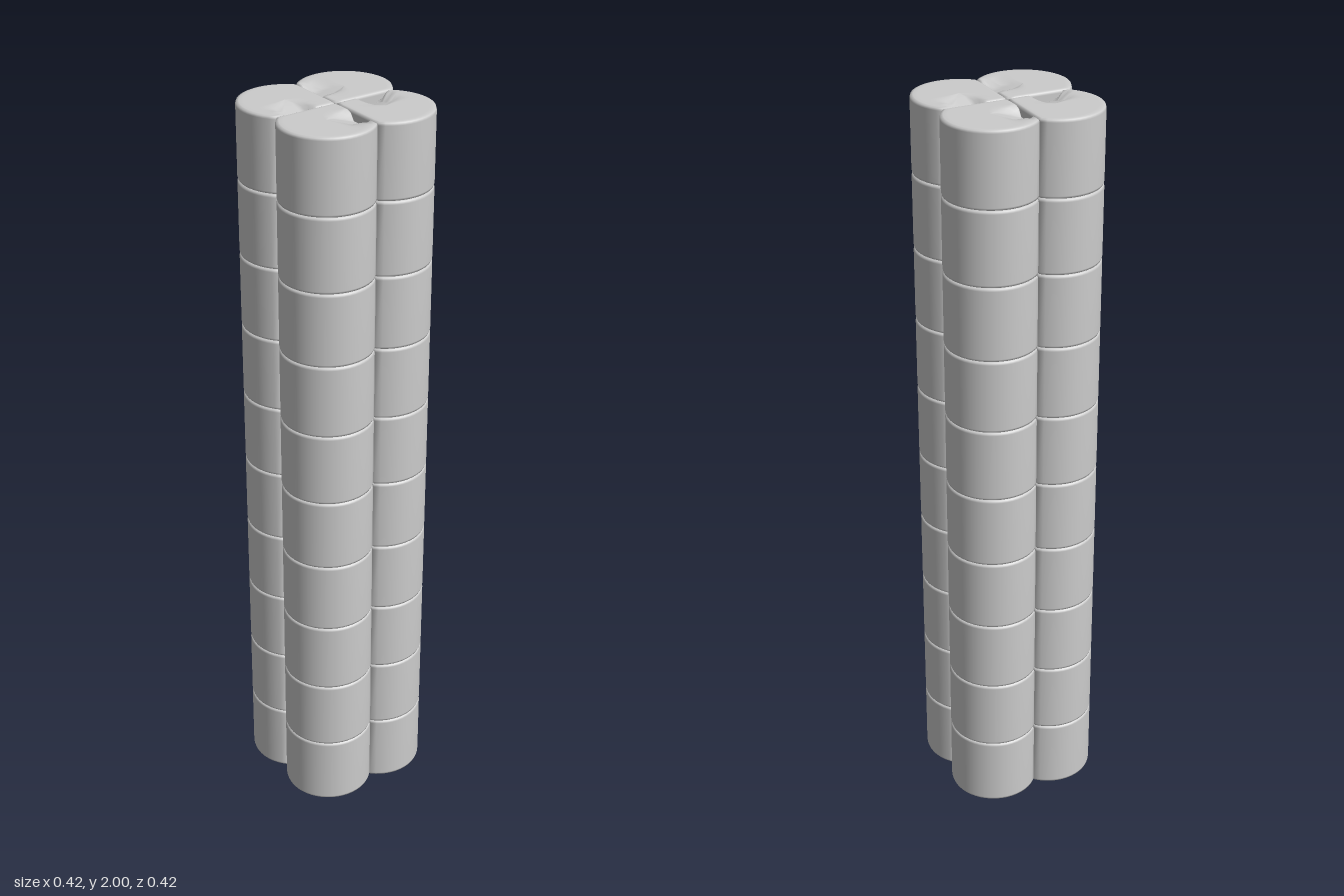
import * as THREE from 'three';

const SEGMENTS = 10, HEIGHT = 2 / SEGMENTS;
const CENTRE = 0.088, RADIUS = 0.122, SIDES = 48;

// Depth of the sloping dent beside the lobe's inner seam (v runs away from +z)
function dentDepth(u, v) {
  const band = THREE.MathUtils.clamp((0.045 - Math.abs(v - 0.105)) / 0.015, 0, 1);
  return 0.025 * band * Math.max(0, 1 - u / 0.08);
}

// One round lobe, cut flat where it meets its neighbours, with softened rims
function lobeGeometry() {
  const cap = [[0, 0], [0.25, 0], [0.5, 0], [0.7, 0], [0.85, 0], [0.93, 0], [0.985, 0.002], [1, 0.008]];
  const rows = [...cap, ...cap.map(([s, y]) => [s, HEIGHT - y]).reverse()];
  const positions = [], index = [];
  rows.forEach(([scale, height], i) => {
    for (let j = 0; j < SIDES; j++) {
      const a = (j / SIDES) * Math.PI * 2;
      const dx = Math.cos(a), dy = Math.sin(a);
      const reach = Math.min(RADIUS,
        dx < 0 ? -CENTRE / dx : RADIUS,
        dy < 0 ? -CENTRE / dy : RADIUS) * scale;
      const u = CENTRE + dx * reach, v = CENTRE + dy * reach;
      const dent = dentDepth(u, v);
      positions.push(u, THREE.MathUtils.clamp(height, dent, HEIGHT - dent), -v);
      if (i < rows.length - 1) {
        const k = (j + 1) % SIDES;
        const p = i * SIDES + j, q = i * SIDES + k;
        index.push(p, q, q + SIDES, p, q + SIDES, p + SIDES);
      }
    }
  });
  const geometry = new THREE.BufferGeometry();
  geometry.setAttribute('position', new THREE.Float32BufferAttribute(positions, 3));
  geometry.setIndex(index);
  geometry.computeVertexNormals();
  return geometry;
}

export function createModel() {
  const model = new THREE.Group();
  model.name = 'clusteredColumn';
  const material = new THREE.MeshStandardMaterial({ color: 0xcccccc });
  const geometry = lobeGeometry();

  // Stacked drums, each made of four lobes turned around the axis
  for (let i = 0; i < SEGMENTS; i++) {
    const drum = new THREE.Group();
    drum.name = `drum${i + 1}`;
    drum.position.y = i * HEIGHT;
    for (let k = 0; k < 4; k++) {
      const lobe = new THREE.Mesh(geometry, material);
      lobe.name = `lobe${k + 1}`;
      lobe.rotation.y = (k * Math.PI) / 2;
      drum.add(lobe);
    }
    model.add(drum);
  }
  return model;
}
